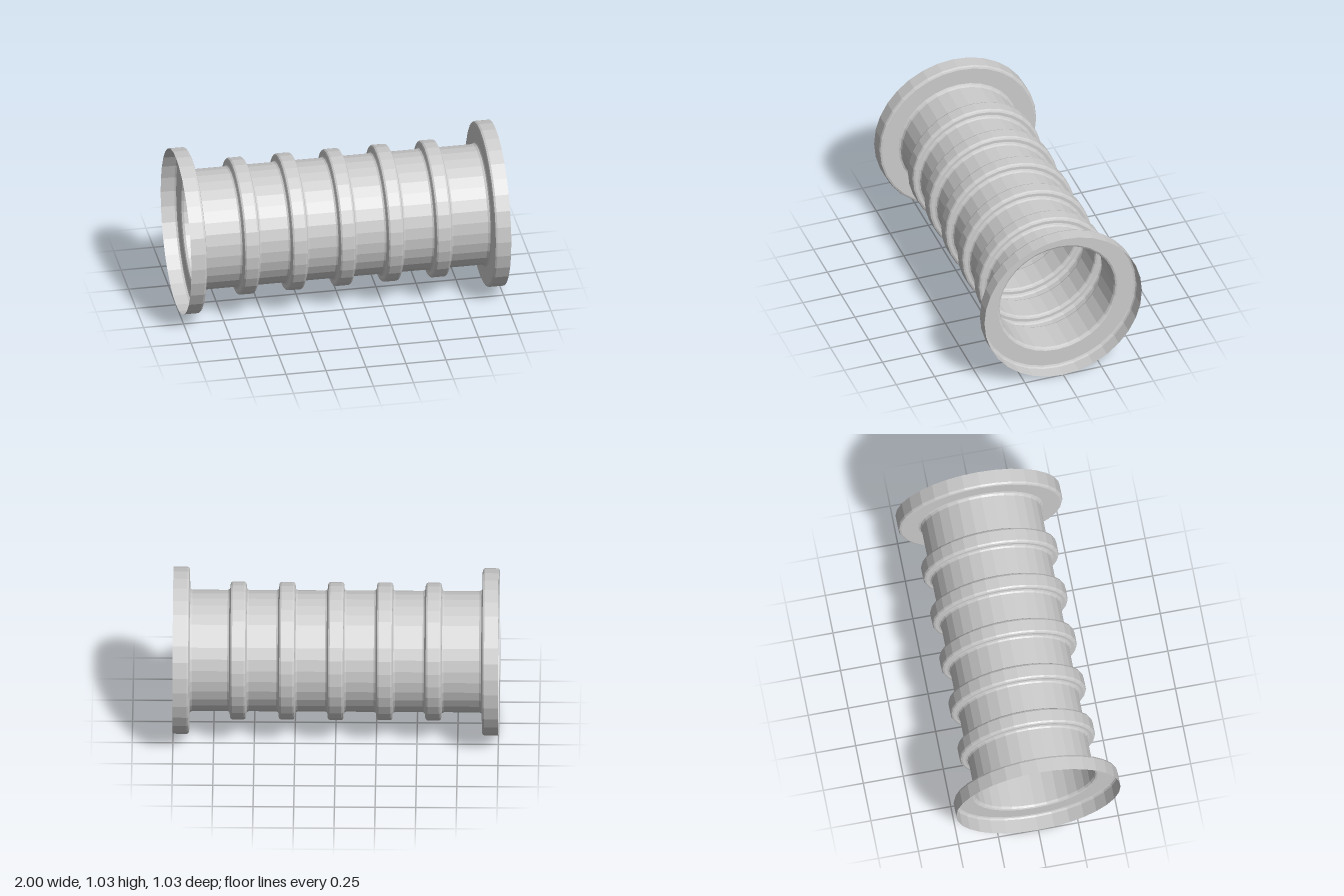
import * as THREE from 'three';

const SIDES = 32;
const AXIS_Y = 0.514;
const TUBE_R = 0.373;
const RIB_HALF = 0.065;
const RIB_X = [-0.6, -0.3, 0, 0.3, 0.6];
const FLANGE_X = 0.882;

const material = new THREE.MeshStandardMaterial({
  color: 0xcccccc, flatShading: true, side: THREE.DoubleSide,
});

// Thin-walled ring around the x axis from [x, radius] pairs.
function ring(name, profile) {
  const geometry = new THREE.LatheGeometry(
    profile.map(([x, r]) => new THREE.Vector2(r, x)), SIDES);
  geometry.rotateZ(-Math.PI / 2);
  const mesh = new THREE.Mesh(geometry, material);
  mesh.name = name;
  return mesh;
}

export function createModel() {
  const group = new THREE.Group();
  group.name = 'corrugatedPipe';
  const pipe = new THREE.Group();
  pipe.name = 'pipe';
  pipe.position.y = AXIS_Y;
  group.add(pipe);

  // Hollow rounded ribs
  const halfRib = [[-RIB_HALF, TUBE_R], [-0.055, 0.378], [-0.05, 0.389],
    [-0.05, 0.408], [-0.045, 0.419], [-0.035, 0.424]];
  const ribProfile = [...halfRib, ...halfRib.map(([x, r]) => [-x, r]).reverse()];
  for (const x of RIB_X) {
    const rib = ring('rib', ribProfile);
    rib.position.x = x;
    pipe.add(rib);
  }

  // Plain tube sections between the ribs and out to the flanges
  const starts = [-FLANGE_X, ...RIB_X.map((x) => x + RIB_HALF)];
  const ends = [...RIB_X.map((x) => x - RIB_HALF), FLANGE_X];
  starts.forEach((x, i) => pipe.add(ring('tubeSection', [[x, TUBE_R], [ends[i], TUBE_R]])));

  // Open cup-shaped flanges at both ends
  const flangeProfile = [[FLANGE_X, TUBE_R], [0.895, 0.379], [0.9, 0.39],
    [0.9, 0.498], [0.904, 0.509], [0.915, 0.514], [1, 0.514]];
  pipe.add(ring('leftFlange', flangeProfile));
  pipe.add(ring('rightFlange', flangeProfile.map(([x, r]) => [-x, r]).reverse()));

  return group;
}
